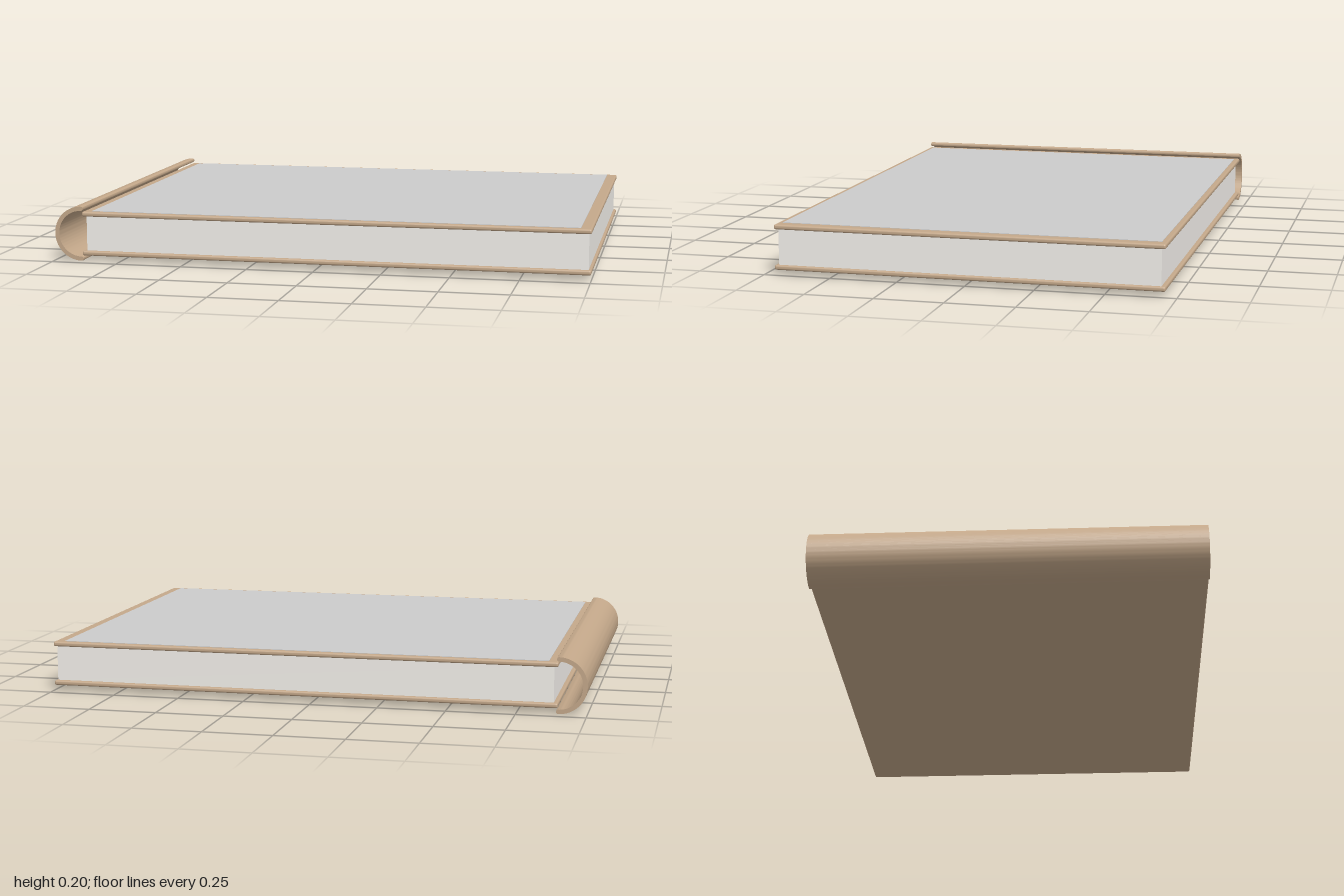
import * as THREE from 'three';
import { toCreasedNormals } from 'three/addons/utils/BufferGeometryUtils.js';
import { RoundedBoxGeometry } from 'three/addons/geometries/RoundedBoxGeometry.js';

const DEPTH = 1.42;
const MID_Y = 0.1025;

export function createModel() {
  const book = new THREE.Group();
  book.name = 'book';
  const leather = new THREE.MeshStandardMaterial({ color: 0xc4a88a });
  const paper = new THREE.MeshStandardMaterial({ color: 0xf4f1ec });
  const grey = new THREE.MeshStandardMaterial({ color: 0xcccccc });

  function add(name, geometry, material, x = 0, y = 0, z = 0) {
    const mesh = new THREE.Mesh(geometry, material);
    mesh.name = name;
    mesh.position.set(x, y, z);
    book.add(mesh);
    return mesh;
  }

  // Covers, mirrored above and below the pages
  for (const [name, side] of [['frontCover', 1], ['backCover', -1]]) {
    const cover = new RoundedBoxGeometry(1.895, 0.018, DEPTH, 3, 0.007);
    add(name, cover, leather, 0.0525, MID_Y + side * 0.074);
  }

  // Page block
  add('pages', new THREE.BoxGeometry(1.87, 0.132, 1.39), paper, 0.055, MID_Y);

  // Thin panel laid on the front cover
  add('coverPanel', new THREE.BoxGeometry(1.82, 0.003, 1.38), grey, 0.05, 0.1855);

  // Hollow half-round spine with rounded lips
  const outer = 0.1025, inner = 0.0865;
  const lip = (outer - inner) / 2, middle = (outer + inner) / 2;
  const profile = new THREE.Shape();
  profile.absarc(0, 0, outer, Math.PI / 2, Math.PI * 1.5, false);
  profile.absarc(0, -middle, lip, -Math.PI / 2, Math.PI / 2, false);
  profile.absarc(0, 0, inner, Math.PI * 1.5, Math.PI / 2, true);
  profile.absarc(0, middle, lip, -Math.PI / 2, Math.PI / 2, false);
  const spine = new THREE.ExtrudeGeometry(profile, { depth: DEPTH, bevelEnabled: false, curveSegments: 24 });
  add('spine', toCreasedNormals(spine, 0.6), leather, -0.8975, MID_Y, -DEPTH / 2);

  return book;
}
